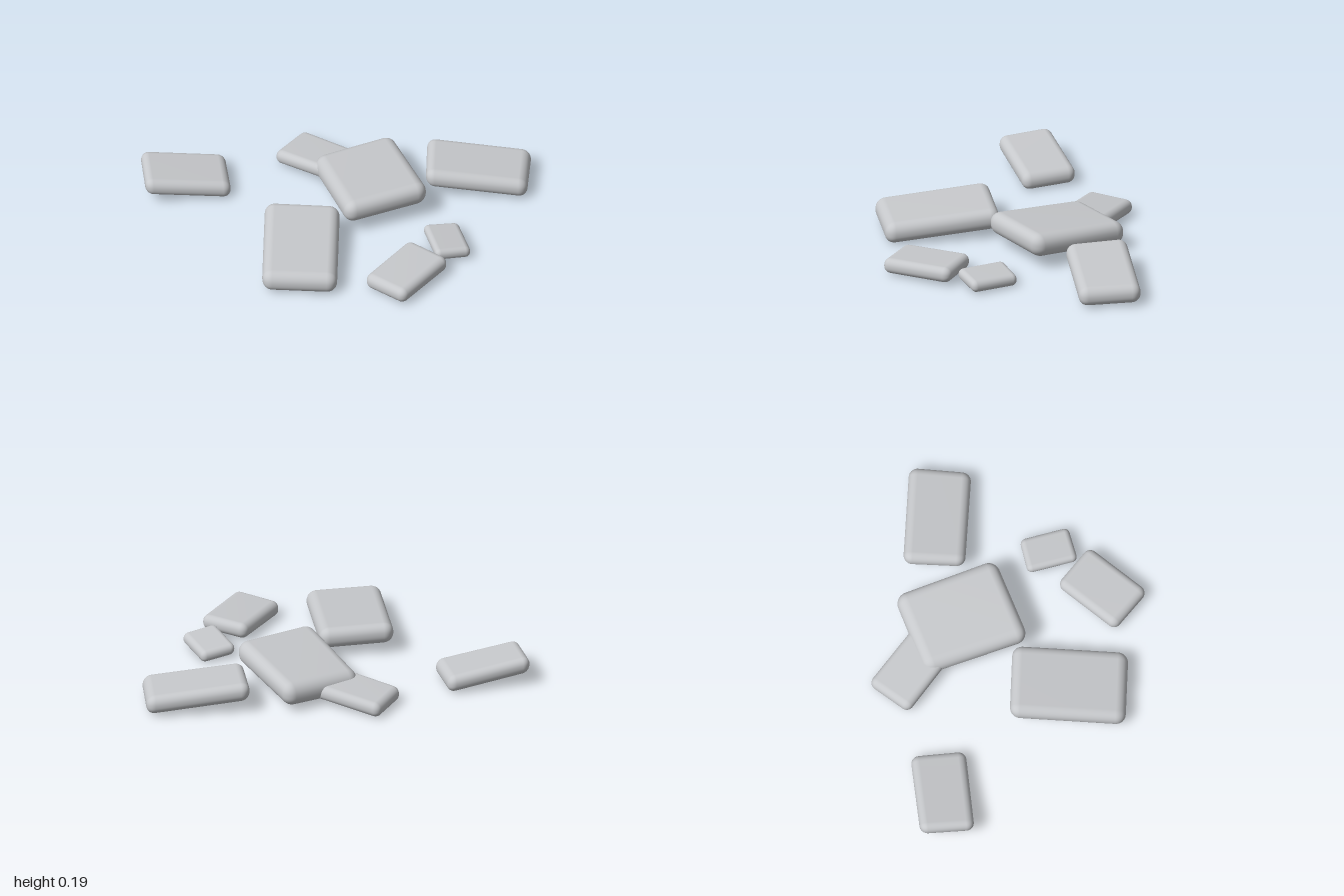
import * as THREE from 'three';
import { RoundedBoxGeometry } from 'three/addons/geometries/RoundedBoxGeometry.js';
import { mergeVertices } from 'three/addons/utils/BufferGeometryUtils.js';

// Rounded slab warped so its plan and top follow four corners [x, topY, z],
// ordered back left, back right, front right, front left.
function slabGeometry(corners, thickness) {
  const [a, b, c, d] = corners.map((p) => new THREE.Vector3(...p));
  const width = (a.distanceTo(b) + d.distanceTo(c)) / 2;
  const depth = (a.distanceTo(d) + b.distanceTo(c)) / 2;
  const box = new RoundedBoxGeometry(width, thickness, depth, 5, thickness * 0.46);
  box.deleteAttribute('normal');
  box.deleteAttribute('uv');
  const geometry = mergeVertices(box, 1e-4);
  const pos = geometry.attributes.position;
  const back = new THREE.Vector3();
  const front = new THREE.Vector3();
  const grow = 1.02; // corners are rounded off, so the true ones lie a little outside
  for (let i = 0; i < pos.count; i++) {
    const u = (pos.getX(i) / width) * grow + 0.5;
    const v = (pos.getZ(i) / depth) * grow + 0.5;
    back.lerpVectors(a, b, u);
    front.lerpVectors(d, c, u);
    back.lerp(front, v);
    pos.setXYZ(i, back.x, back.y + pos.getY(i) - thickness / 2, back.z);
  }
  geometry.computeVertexNormals();
  return geometry;
}

export function createModel() {
  const group = new THREE.Group();
  group.name = 'stoneSlabs';
  const stone = new THREE.MeshStandardMaterial({ color: 0xc6c8cb });
  stone.name = 'grey stone';

  const slabs = [
    ['farRightStone', 0.09,
      [[-1, 0.155, -0.55], [-0.57, 0.095, -0.56], [-0.565, 0.085, -0.28], [-1, 0.14, -0.275]]],
    ['backStone', 0.078,
      [[-0.31, 0.085, -0.55], [-0.14, 0.078, -0.735], [0.15, 0.11, -0.46], [-0.02, 0.125, -0.28]]],
    ['centreStone', 0.125,
      [[-0.12, 0.135, -0.44], [0.295, 0.155, -0.56], [0.43, 0.195, -0.035], [0, 0.185, 0.095]]],
    ['farLeftStone', 0.1,
      [[0.48, 0.165, -0.5], [1, 0.11, -0.42], [0.945, 0.105, -0.11], [0.44, 0.155, -0.19]]],
    ['frontRightStone', 0.112,
      [[-0.41, 0.17, -0.03], [-0.035, 0.157, 0.02], [-0.11, 0.112, 0.6], [-0.485, 0.122, 0.55]]],
    ['frontStone', 0.083,
      [[0.042, 0.085, 0.55], [0.3, 0.1, 0.28], [0.485, 0.1, 0.46], [0.225, 0.09, 0.732]]],
    ['smallStone', 0.062,
      [[0.388, 0.08, 0.135], [0.57, 0.062, 0.11], [0.612, 0.068, 0.36], [0.43, 0.085, 0.393]]],
  ];
  for (const [name, thickness, corners] of slabs) {
    const mesh = new THREE.Mesh(slabGeometry(corners, thickness), stone);
    mesh.name = name;
    group.add(mesh);
  }
  return group;
}
